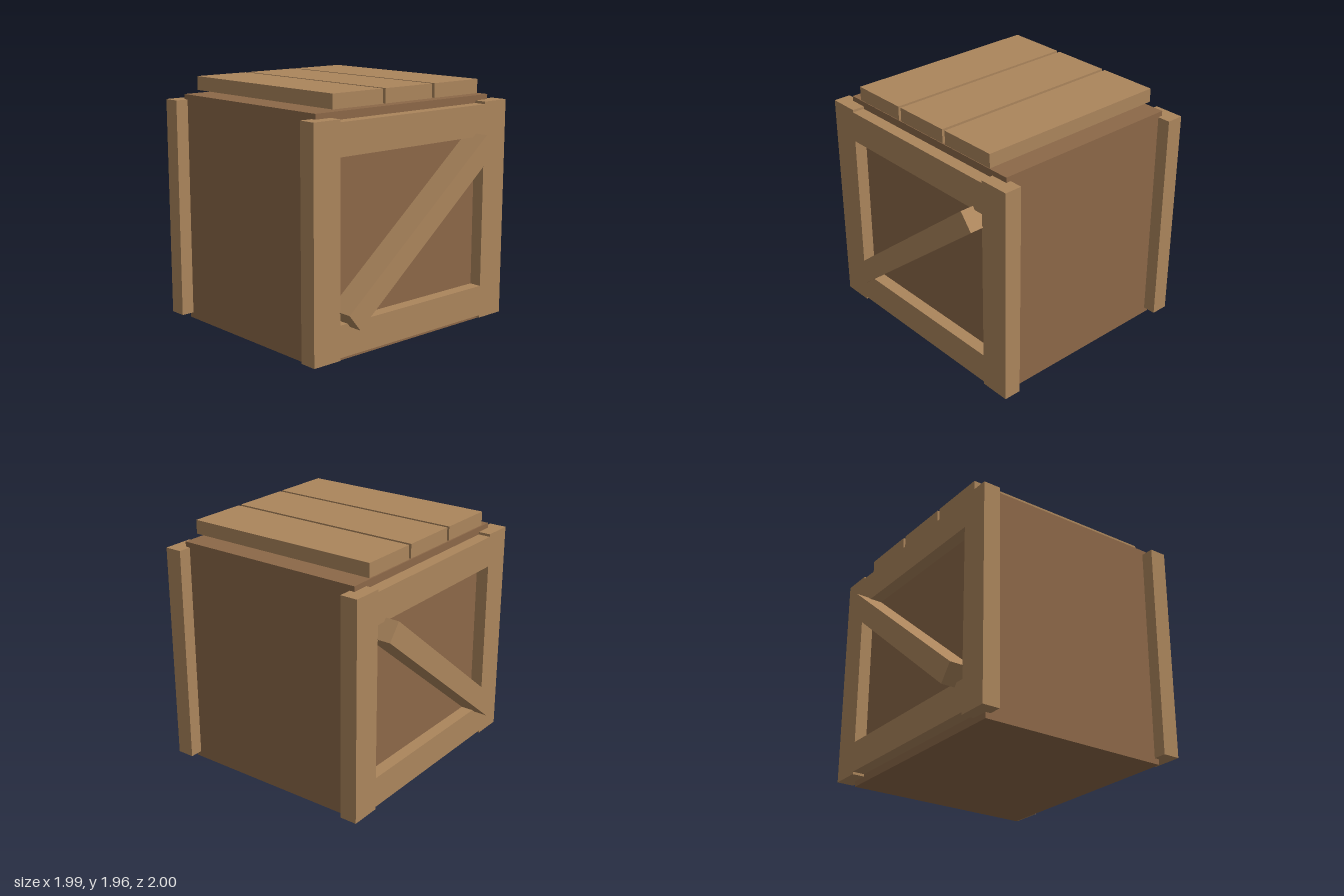
import * as THREE from 'three';

const lightWood = new THREE.MeshStandardMaterial({ color: 0xab855c, flatShading: true });
const darkWood = new THREE.MeshStandardMaterial({ color: 0x8c6848, flatShading: true });

// Box given by its extents along each axis
function plank(name, [x0, x1], [y0, y1], [z0, z1], material = lightWood) {
  const mesh = new THREE.Mesh(new THREE.BoxGeometry(x1 - x0, y1 - y0, z1 - z0), material);
  mesh.position.set((x0 + x1) / 2, (y0 + y1) / 2, (z0 + z1) / 2);
  mesh.name = name;
  return mesh;
}

// Framed end: two posts, two rails and a diagonal brace; side is +1 front, -1 back
function framedEnd(name, side) {
  const end = new THREE.Group();
  end.name = name;
  const depth = (a, b) => (side > 0 ? [a, b] : [-b, -a]);
  const frameZ = depth(0.75, 0.89);
  end.add(
    plank('leftPost', [0.75, 0.995], [0.045, 1.79], frameZ),
    plank('rightPost', [-0.995, -0.75], [0.045, 1.79], frameZ),
    plank('topRail', [-0.75, 0.75], [1.525, 1.77], frameZ),
    plank('bottomRail', [-0.75, 0.75], [0.065, 0.31], frameZ),
  );
  // The brace rises towards +x on both ends
  const brace = plank('diagonalBrace', [-0.909, 0.909], [0.832, 0.999], depth(0.78, 1));
  brace.rotation.z = Math.atan2(1.14, 1.415);
  end.add(brace);
  return end;
}

export function createModel() {
  const crate = new THREE.Group();
  crate.name = 'woodenCrate';

  // Solid inner body
  crate.add(plank('crateBody', [-0.89, 0.89], [0, 1.83], [-0.79, 0.79], darkWood));

  // Front and back frames
  crate.add(framedEnd('frontFrame', 1), framedEnd('backFrame', -1));

  // Three lid boards, resting just above the body
  const lid = new THREE.Group();
  lid.name = 'lid';
  for (let i = -1; i <= 1; i++) {
    const x = i * 0.508 - 0.003;
    lid.add(plank('lidBoard', [x - 0.24, x + 0.24], [1.85, 1.96], [-0.81, 0.81]));
  }
  crate.add(lid);

  return crate;
}
